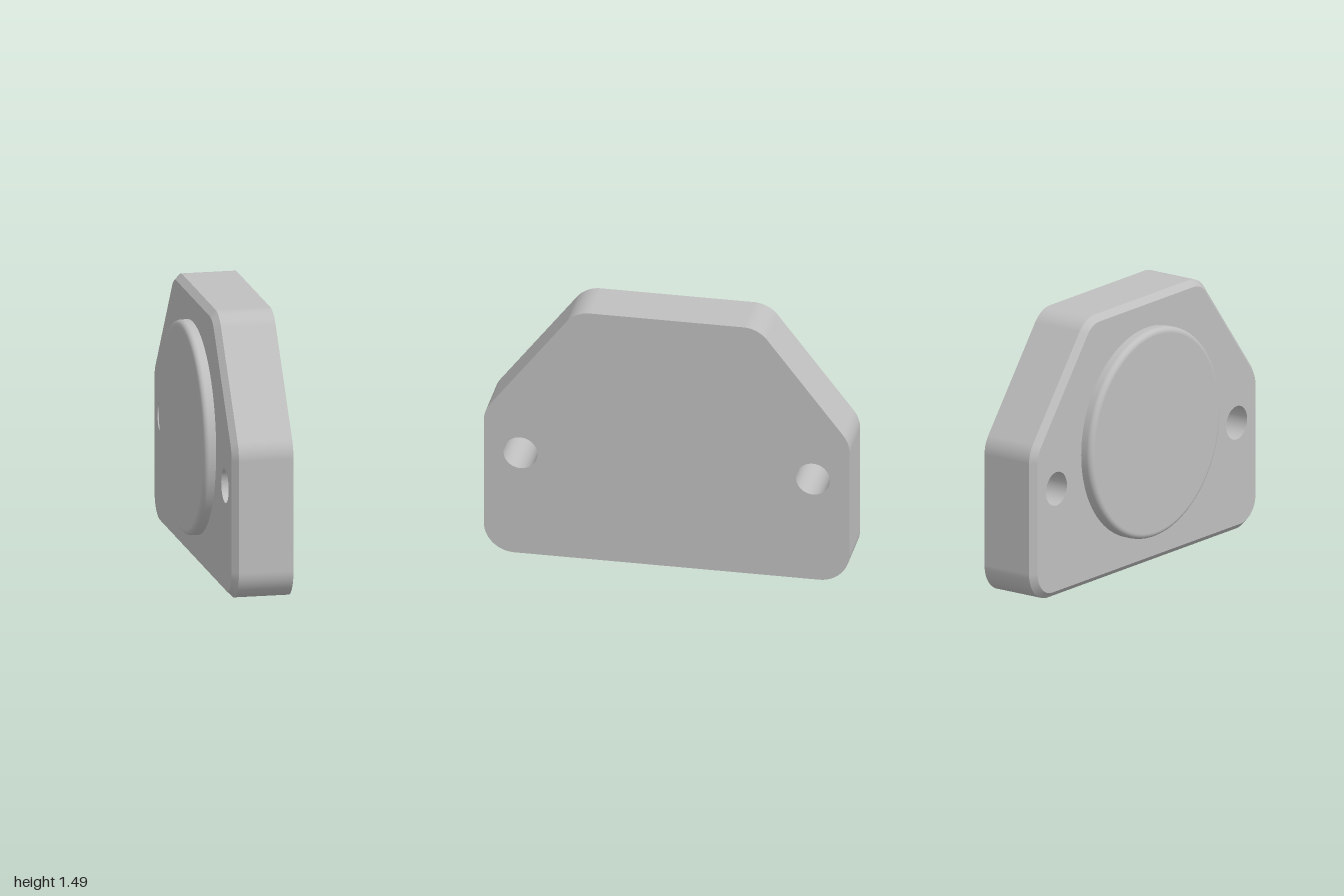
import * as THREE from 'three';
import { mergeGeometries } from 'three/addons/utils/BufferGeometryUtils.js';

const FRONT = 0.2, BACK = -0.133, CHAMFER = 0.033; // plate thickness range
const FILLET = 0.165, STEPS = 12;
const HOLE = { u: 0.8, y: 0.605, r: 0.093 };
const BOSS = { y: 0.742, r: 0.58, top: -0.2, round: 0.03 };

// Filleted outline, counter-clockwise; each point carries its outward normal
function outline(inset) {
  const slope = Math.atan2(0.5, 0.645), q = Math.PI / 2;
  const right = [[1, 0, -q, 0], [1, 0.84, 0, slope], [0.5, 1.485, slope, q]];
  const left = right.map(([u, y, a, b]) => [-u, y, Math.PI - b, Math.PI - a]).reverse();
  const points = [];
  for (const [u, y, a, b] of [...right, ...left]) {
    const k = FILLET / (1 + Math.cos(b - a));
    const cu = u - k * (Math.cos(a) + Math.cos(b));
    const cy = y - k * (Math.sin(a) + Math.sin(b));
    for (let i = 0; i <= STEPS; i++) {
      const t = a + (b - a) * i / STEPS, nu = Math.cos(t), ny = Math.sin(t), r = FILLET - inset;
      points.push({ x: cu + r * nu, y: cy + r * ny, nx: nu, ny });
    }
  }
  return points;
}

// Clockwise ring for a hole, normals pointing to its axis
function holeRing(u) {
  return Array.from({ length: 48 }, (_, i) => {
    const t = -i / 48 * Math.PI * 2, c = Math.cos(t), s = Math.sin(t);
    return { x: u + HOLE.r * c, y: HOLE.y + HOLE.r * s, nx: -c, ny: -s };
  });
}

// Wall joining two matching loops; tilt is the z part of the normal
function band(a, za, b, zb, tilt = 0) {
  const position = [], normal = [], uv = [], index = [], n = a.length;
  const len = Math.hypot(1, tilt);
  for (const [loop, z] of [[a, za], [b, zb]]) {
    for (const p of loop) {
      position.push(p.x, p.y, z);
      normal.push(p.nx / len, p.ny / len, tilt / len);
      uv.push(0, 0);
    }
  }
  for (let i = 0; i < n; i++) {
    const j = (i + 1) % n;
    index.push(i, j, n + j, i, n + j, n + i);
  }
  const g = new THREE.BufferGeometry();
  g.setAttribute('position', new THREE.Float32BufferAttribute(position, 3));
  g.setAttribute('normal', new THREE.Float32BufferAttribute(normal, 3));
  g.setAttribute('uv', new THREE.Float32BufferAttribute(uv, 2));
  g.setIndex(index);
  return g;
}

// Flat face with the two holes cut out
function face(loop, rings) {
  const toVectors = (pts) => pts.map((p) => new THREE.Vector2(p.x, p.y));
  const shape = new THREE.Shape(toVectors(loop));
  shape.holes = rings.map((r) => new THREE.Path(toVectors(r)));
  return new THREE.ShapeGeometry(shape);
}

export function createModel() {
  const grey = new THREE.MeshStandardMaterial({ color: 0xbfbfbf });
  grey.name = 'grey';
  const model = new THREE.Group();
  model.name = 'coverPlate';
  const add = (name, geometry) => {
    const mesh = new THREE.Mesh(geometry, grey);
    mesh.name = name;
    model.add(mesh);
    return mesh;
  };

  // Plate with one chamfered rim
  const outer = outline(0), inner = outline(CHAMFER);
  const rings = [holeRing(HOLE.u), holeRing(-HOLE.u)];
  add('plate', mergeGeometries([
    face(outer, rings).translate(0, 0, FRONT),
    face(inner, rings).rotateY(Math.PI).translate(0, 0, BACK),
    band(outer, BACK + CHAMFER, outer, FRONT),
  ]));
  add('chamfer', band(inner, BACK, outer, BACK + CHAMFER, -1));
  rings.forEach((ring, i) => add(i ? 'rightHole' : 'leftHole', band(ring, BACK, ring, FRONT)));

  // Round raised boss with a rolled edge
  const height = BACK - BOSS.top, rim = BOSS.r - BOSS.round;
  const profile = [new THREE.Vector2(BOSS.r, 0)];
  for (let i = 0; i <= 8; i++) {
    const t = i / 8 * Math.PI / 2;
    profile.push(new THREE.Vector2(rim + BOSS.round * Math.cos(t), height - BOSS.round + BOSS.round * Math.sin(t)));
  }
  add('boss', mergeGeometries([
    new THREE.LatheGeometry(profile, 96).rotateX(-Math.PI / 2).translate(0, 0, BACK),
    new THREE.CircleGeometry(rim, 96).rotateY(Math.PI).translate(0, 0, BOSS.top),
  ])).position.y = BOSS.y;

  // Turn the plate so its plain face looks along +x
  model.rotation.y = Math.PI / 2;
  const root = new THREE.Group();
  root.add(model);
  return root;
}
